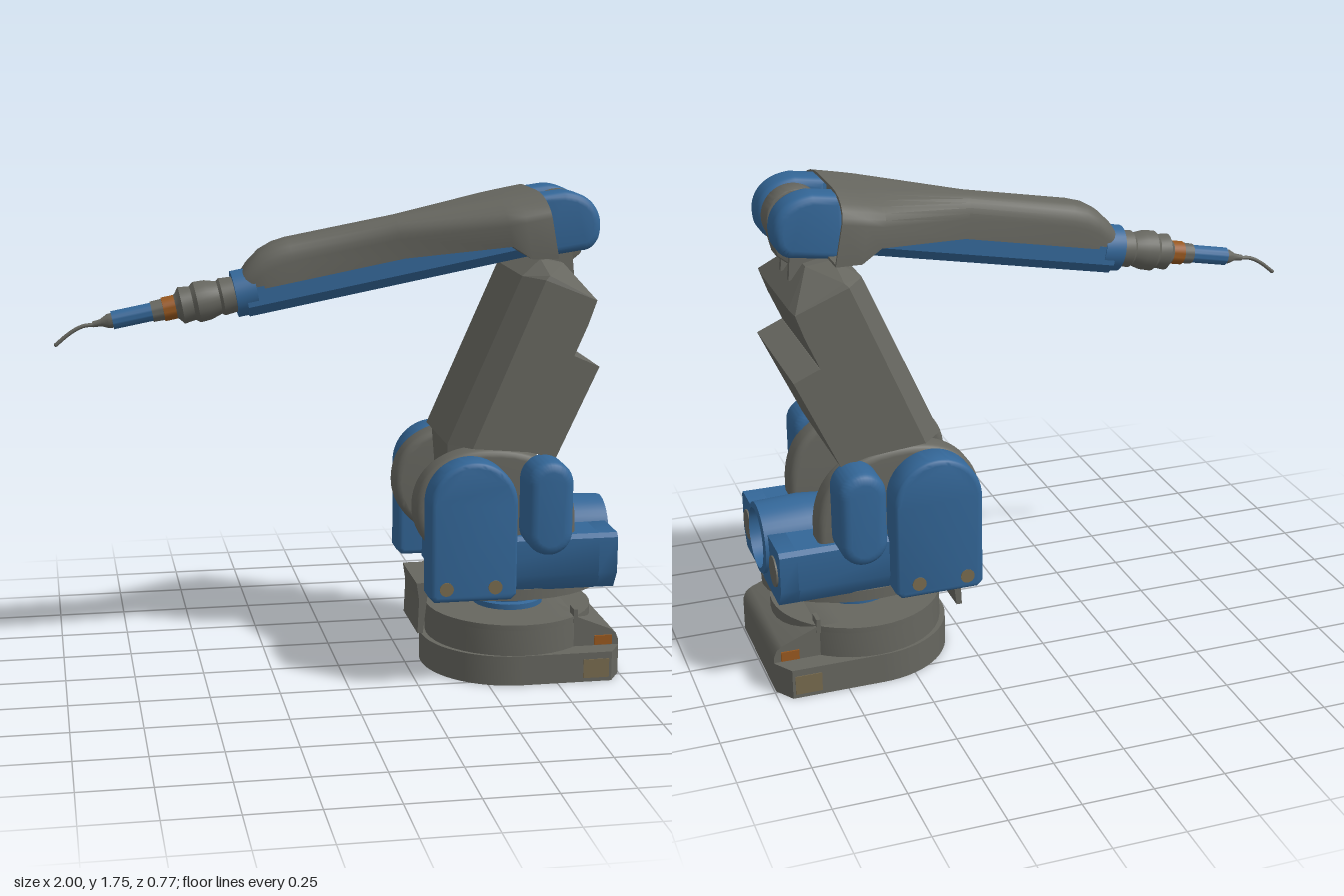
import * as THREE from 'three';
import { toCreasedNormals } from 'three/addons/utils/BufferGeometryUtils.js';
import { ConvexGeometry } from 'three/addons/geometries/ConvexGeometry.js';

const material = (name, color) => {
  const m = new THREE.MeshStandardMaterial({ color });
  m.name = name;
  return m;
};
const V2 = (p) => new THREE.Vector2(p[0], p[1]);
const poly = (pts) => new THREE.Shape(pts.map(V2));

// Extrude an x-y outline from z0 to z1, with optional rounded edges.
function slab(shape, z0, z1, b = 0) {
  const g = new THREE.ExtrudeGeometry(shape, {
    depth: z1 - z0 - 2 * b, curveSegments: 20, bevelEnabled: b > 0,
    bevelSize: b, bevelThickness: b, bevelOffset: -b, bevelSegments: 4,
  });
  g.translate(0, 0, z0 + b);
  return toCreasedNormals(g, 0.6);
}
// Extrude a plan outline upwards from y0 to y1.
const rise = (shape, y0, y1) => slab(shape, y0, y1).rotateX(-Math.PI / 2);
const lathe = (pts, seg = 32) => toCreasedNormals(new THREE.LatheGeometry(pts.map(V2), seg), 0.5);
// Convex solid from [x, y, half width] corners.
const hull = (pts) => new ConvexGeometry(pts.flatMap(([x, y, w]) =>
  [new THREE.Vector3(x, y, w), new THREE.Vector3(x, y, -w)]));

// Skin equal-length rings ordered along +x, closing both ends.
function loft(rings) {
  const n = rings[0].length, pos = rings.flat(2), idx = [];
  for (let i = 0; i < rings.length - 1; i++) {
    for (let j = 0; j < n; j++) {
      const a = i * n + j, b = i * n + (j + 1) % n;
      idx.push(a, a + n, b, b, a + n, b + n);
    }
  }
  [0, rings.length - 1].forEach((r, end) => {
    const c = pos.length / 3;
    for (let k = 0; k < 3; k++) pos.push(rings[r].reduce((s, p) => s + p[k] / n, 0));
    for (let j = 0; j < n; j++) {
      const a = r * n + j, b = r * n + (j + 1) % n;
      idx.push(c, end ? b : a, end ? a : b);
    }
  });
  const g = new THREE.BufferGeometry();
  g.setAttribute('position', new THREE.Float32BufferAttribute(pos, 3));
  g.setIndex(idx);
  return toCreasedNormals(g, 0.6);
}
// Arched section: flat bottom, rounded shoulders.
function arch(s, w, low, top, ry) {
  const half = [[w, low]];
  for (let i = 0; i <= 6; i++) {
    const a = (i / 6) * Math.PI / 2;
    half.push([w * 0.35 + w * 0.65 * Math.cos(a), top - ry + ry * Math.sin(a)]);
  }
  const other = half.map(([z, y]) => [-z, y]).reverse();
  return [...half, ...other].map(([z, y]) => [s, y, z]);
}

export function createModel() {
  const grey = material('grey casting', 0x66665f);
  const blue = material('blue paint', 0x336697);
  const orange = material('orange trim', 0x96571f);
  const tan = material('tan label', 0x776a4e);
  const model = new THREE.Group();
  model.name = 'robotArm';
  const add = (name, geo, mat, parent = model) => {
    const m = new THREE.Mesh(geo, mat);
    m.name = name;
    parent.add(m);
    return m;
  };
  const box = (name, mat, x0, x1, y0, y1, z0, z1) =>
    add(name, new THREE.BoxGeometry(x1 - x0, y1 - y0, z1 - z0)
      .translate((x0 + x1) / 2, (y0 + y1) / 2, (z0 + z1) / 2), mat);
  const disc = (r, h) => new THREE.CylinderGeometry(r, r, h, 32);

  // Hollow base
  const outline = (d, S) => {
    const s = new S();
    s.moveTo(0.62, -0.31 + d);
    s.lineTo(0.95 - d / 2, -0.31 + d);
    s.lineTo(0.995 - d, -0.24 + d / 2);
    s.lineTo(0.995 - d, 0.24 - d / 2);
    s.lineTo(0.95 - d / 2, 0.31 - d);
    s.lineTo(0.62, 0.31 - d);
    s.absarc(0.62, 0, 0.31 - d, Math.PI / 2, Math.PI * 1.5, false);
    return s;
  };
  const circle = (S, x, y, r) => new S().absarc(x, y, r, 0, Math.PI * 2, false);
  const wall = outline(0, THREE.Shape);
  wall.holes.push(outline(0.015, THREE.Path));
  add('baseWall', rise(wall, 0, 0.1), grey);
  const ledge = outline(0, THREE.Shape);
  ledge.holes.push(circle(THREE.Path, 0.632, 0, 0.285));
  add('baseLedge', rise(ledge, 0.1, 0.11), grey);
  const drumWall = circle(THREE.Shape, 0.635, 0, 0.305);
  drumWall.holes.push(circle(THREE.Path, 0.635, 0, 0.288));
  add('baseDrum', rise(drumWall, 0.11, 0.205), grey);
  add('baseTop', rise(circle(THREE.Shape, 0.635, 0, 0.305), 0.205, 0.225), grey);
  add('baseRear', slab(poly([[0.75, 0.11], [0.995, 0.11], [0.995, 0.13], [0.985, 0.155],
    [0.965, 0.17], [0.85, 0.217], [0.835, 0.225], [0.75, 0.225]]), -0.235, 0.235), grey);

  // Turntable
  add('turntable', lathe([[0, 0.22], [0.13, 0.22], [0.13, 0.245], [0.115, 0.25], [0.115, 0.275],
    [0.145, 0.28], [0.145, 0.31], [0, 0.31]]).translate(0.635, 0, 0), blue);
  add('turntablePlate', disc(1, 0.04).scale(0.35, 1, 0.25).translate(0.62, 0.32, 0), grey);
  add('frontGuard', slab(poly([[0.265, 0.345], [0.62, 0.345], [0.62, 0.315], [0.33, 0.315],
    [0.305, 0.29], [0.29, 0.155], [0.27, 0.155], [0.275, 0.28]]), -0.13, 0.13), grey);

  // Shoulder body, with a round notch in its rear plate
  const section = [[-0.11, 0.545], [-0.265, 0.545], [-0.28, 0.53], [-0.28, 0.4], [-0.24, 0.335],
    [0.24, 0.335], [0.28, 0.4], [0.28, 0.53], [0.265, 0.545], [0.11, 0.545]];
  add('shoulderBody', slab(poly(section), 0.36, 0.905).rotateY(Math.PI / 2), blue);
  const rear = poly(section);
  const cut = Math.atan2(0.06, 0.11);
  rear.absarc(0, 0.485, 0.115, cut, Math.PI - cut, true);
  add('shoulderRear', slab(rear, 0.9, 0.968).rotateY(Math.PI / 2), blue);
  add('rearPort', lathe([[0, 0.7], [0.125, 0.7], [0.135, 0.82], [0.128, 0.98], [0.108, 0.985],
    [0.105, 0.915], [0, 0.915]], 40).rotateZ(-Math.PI / 2).translate(0, 0.485, 0), blue);

  // Shapes shared by both shoulder sides
  const cheek = new THREE.Shape();
  cheek.moveTo(0.44, 0.45);
  cheek.lineTo(0.82, 0.45);
  cheek.lineTo(0.82, 0.6);
  cheek.bezierCurveTo(0.81, 0.78, 0.68, 0.86, 0.49, 0.86);
  cheek.bezierCurveTo(0.33, 0.86, 0.235, 0.77, 0.235, 0.65);
  cheek.bezierCurveTo(0.235, 0.54, 0.32, 0.45, 0.44, 0.45);
  const cover = new THREE.Shape();
  cover.moveTo(0.285, 0.34);
  cover.lineTo(0.56, 0.34);
  cover.lineTo(0.58, 0.36);
  cover.lineTo(0.58, 0.68);
  cover.absarc(0.422, 0.687, 0.158, 0, Math.PI, false);
  cover.lineTo(0.265, 0.36);
  const pod = new THREE.Shape();
  pod.absarc(0.692, 0.757, 0.083, 0, Math.PI, false);
  pod.absarc(0.692, 0.583, 0.083, Math.PI, Math.PI * 2, false);

  for (const s of [1, -1]) {
    const side = s > 0 ? 'left' : 'right';
    const plate = (name, shape, a, b, mat, bevel) =>
      add(side + name, slab(shape, Math.min(s * a, s * b), Math.max(s * a, s * b), bevel), mat);
    plate('ShoulderCheek', cheek, 0.145, 0.25, grey, 0.025);
    plate('ShoulderCover', cover, 0.24, 0.362, blue, 0.02);
    plate('MotorPod', pod, 0.22, 0.385, blue, 0.035);
    for (const x of [0.325, 0.5]) {
      add(side + 'CoverBolt', disc(0.025, 0.008).rotateX(Math.PI / 2)
        .translate(x, 0.392, s * 0.361), tan);
    }
    add(side + 'BearingRing', disc(0.1, 0.03).rotateX(Math.PI / 2)
      .translate(0.5, 0.66, s * 0.137), orange);
    add(side + 'RearCap', disc(0.055, 0.012).rotateZ(Math.PI / 2)
      .translate(0.968, 0.445, s * 0.195), grey);
    box(side + 'BaseTab', grey, 0.825, 0.84, 0.2, 0.252, s * 0.2125 - 0.0275, s * 0.2125 + 0.0275);
    box(side + 'BaseLabel', tan, 0.845, 0.94, 0.015, 0.085, s * 0.309 - 0.004, s * 0.309 + 0.004);
    box(side + 'BaseTrim', orange, 0.905, 0.97, 0.113, 0.148, s * 0.237 - 0.004, s * 0.237 + 0.004);
  }

  // Shoulder joint and lower arm
  add('shoulderDrum', lathe([[0, -0.125], [0.085, -0.125], [0.085, -0.09], [0.12, -0.085],
    [0.12, 0.085], [0.085, 0.09], [0.085, 0.125], [0, 0.125]])
    .rotateX(Math.PI / 2).translate(0.46, 0.65, 0), grey);
  box('shoulderSaddle', grey, 0.4, 0.68, 0.5, 0.62, -0.11, 0.11);
  add('lowerArmRoot', hull([[0.37, 0.88, 0.14], [0.64, 0.88, 0.14], [0.6, 0.78, 0.12],
    [0.54, 0.68, 0.1], [0.38, 0.68, 0.1]]), grey);
  add('lowerArm', hull([[0.36, 0.87, 0.18], [0.62, 1.465, 0.18], [0.435, 0.87, 0.26],
    [0.685, 1.46, 0.26], [0.645, 0.85, 0.26], [0.875, 1.385, 0.19], [0.84, 1.3, 0.26],
    [0.87, 1.385, 0.26], [0.7, 1.475, 0.255], [0.7, 1.515, 0.12], [0.79, 1.495, 0.1]]), grey);
  add('lowerArmHump', slab(poly([[0.6, 0.87], [0.64, 0.85], [0.735, 0.825], [0.885, 1.15],
    [0.795, 1.19], [0.72, 1.16]]), -0.26, 0.26), grey);

  // Elbow
  const hub = new THREE.Shape();
  hub.moveTo(0.71, 1.47);
  hub.lineTo(0.82, 1.48);
  hub.lineTo(0.87, 1.52);
  hub.absarc(0.795, 1.64, 0.105, -0.5, Math.PI, false);
  add('elbowHub', slab(hub, -0.042, 0.042, 0.008), grey);
  const shell = new THREE.Shape();
  shell.moveTo(0.66, 1.52);
  shell.lineTo(0.84, 1.545);
  shell.quadraticCurveTo(0.88, 1.545, 0.9, 1.59);
  shell.bezierCurveTo(0.925, 1.68, 0.87, 1.75, 0.77, 1.755);
  shell.lineTo(0.66, 1.74);
  for (const s of [1, -1]) {
    add('elbowShell', slab(shell, s * 0.112 - 0.06, s * 0.112 + 0.06, 0.03), blue);
    add('elbowYoke', hull([[0.7, 1.45, 0.012], [0.84, 1.44, 0.012], [0.83, 1.55, 0.008],
      [0.74, 1.56, 0.008]]).translate(0, 0, s * 0.055), grey);
  }

  // Upper arm, laid along its own x axis with the tip at -x
  const arm = new THREE.Group();
  arm.name = 'upperArm';
  arm.position.set(0.8, 1.64, 0);
  arm.rotation.z = 0.187;
  model.add(arm);
  add('upperArmHood', loft([
    arch(-1.155, 0.066, -0.01, 0.055, 0.05), arch(-1.13, 0.074, -0.01, 0.08, 0.06),
    arch(-1.08, 0.078, -0.01, 0.115, 0.07), arch(-1.03, 0.079, -0.01, 0.132, 0.075),
    arch(-0.98, 0.079, -0.01, 0.137, 0.075), arch(-0.59, 0.079, -0.01, 0.135, 0.075),
    arch(-0.24, 0.25, -0.018, 0.134, 0.08), arch(-0.18, 0.256, -0.075, 0.134, 0.08),
    arch(-0.09, 0.262, -0.09, 0.133, 0.08), arch(-0.09, 0.252, -0.082, 0.124, 0.075),
    arch(-0.17, 0.245, -0.068, 0.124, 0.075),
  ]), grey, arm);
  // Trough under the hood: straight sides, chamfered bottom
  const trough = poly([[-0.077, 0], [-0.077, -0.065], [-0.045, -0.101], [0.045, -0.101],
    [0.077, -0.065], [0.077, 0]]);
  add('upperArmTrough', slab(trough, -1.16, -0.11).rotateY(Math.PI / 2), blue, arm);
  // Turned parts use [radius, distance towards the tip]
  const turned = (name, pts, mat) =>
    add(name, lathe(pts).rotateZ(Math.PI / 2).translate(0, -0.02, 0), mat, arm);
  turned('wristCollar', [[0, 1.12], [0.082, 1.12], [0.082, 1.195], [0, 1.195]], blue);
  turned('wrist', [[0, 1.19], [0.062, 1.19], [0.066, 1.24], [0.058, 1.25], [0.07, 1.29],
    [0.072, 1.33], [0.06, 1.345], [0.065, 1.385], [0.045, 1.4], [0.04, 1.41], [0, 1.41]], grey);
  turned('wristBand', [[0, 1.4], [0.042, 1.4], [0.042, 1.45], [0, 1.45]], orange);
  turned('toolFlange', [[0, 1.44], [0.038, 1.44], [0.036, 1.49], [0, 1.49]], grey);
  turned('torchBody', [[0, 1.48], [0.032, 1.48], [0.032, 1.63], [0, 1.63]], blue);
  turned('torchNeck', [[0, 1.62], [0.027, 1.62], [0.025, 1.645], [0.013, 1.67], [0.01, 1.7],
    [0, 1.7]], grey);

  // Bent torch nozzle
  const bend = new THREE.CatmullRomCurve3([[-0.84, 1.304], [-0.9, 1.299], [-0.945, 1.276],
    [-0.995, 1.236]].map(([x, y]) => new THREE.Vector3(x, y, 0)));
  add('torchNozzle', new THREE.TubeGeometry(bend, 20, 0.007, 10), grey);
  add('nozzleTip', new THREE.SphereGeometry(0.007, 10, 8).translate(-0.995, 1.236, 0), grey);
  return model;
}
